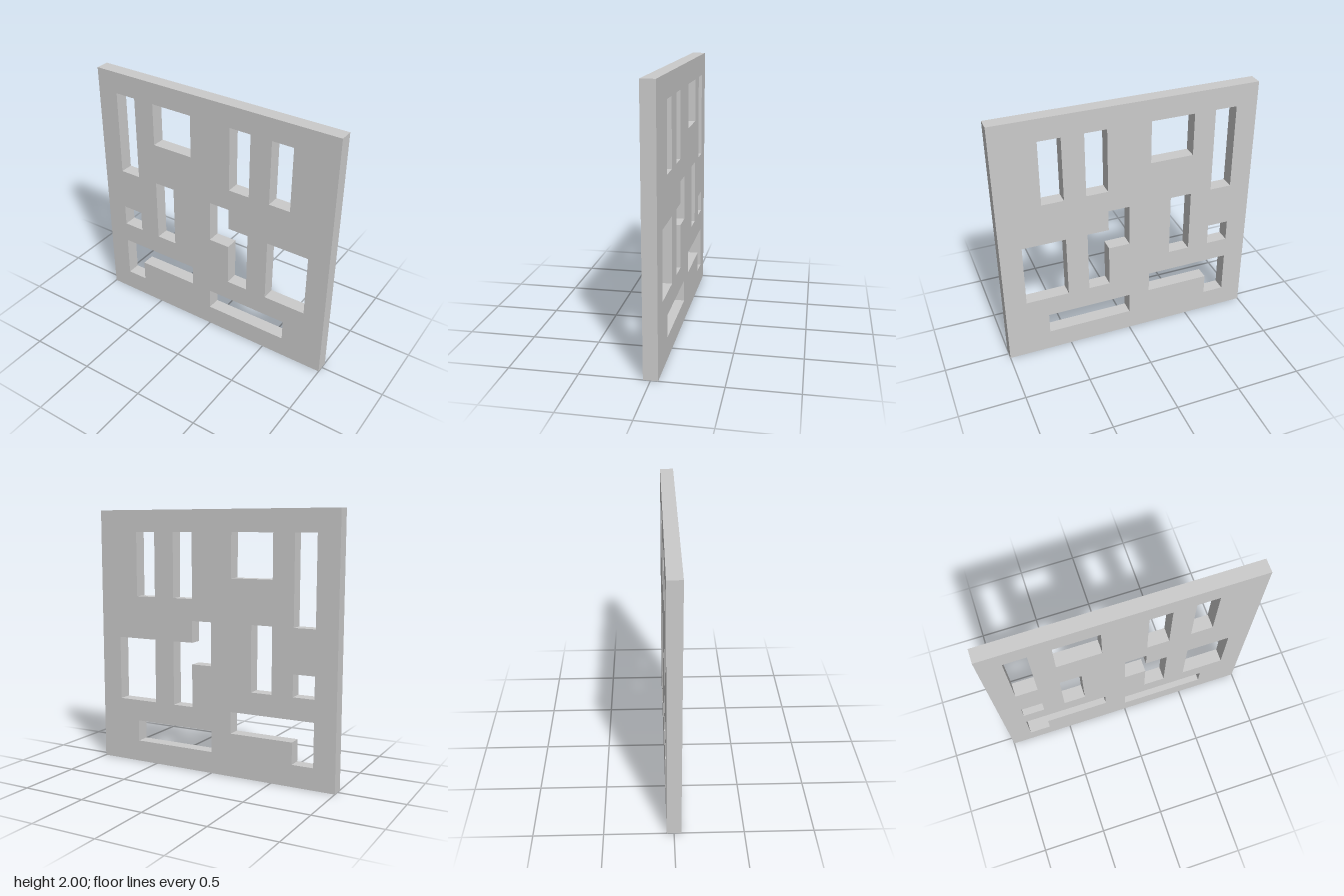
import * as THREE from 'three';

const CELLS = 12;            // the panel is laid out on a 12 x 12 grid
const CELL = 2 / CELLS;
const DEPTH = 0.104;

// Corners of a rectangle in grid cells, counted from the lower left
const rect = (x0, y0, x1, y1) => [[x0, y0], [x1, y0], [x1, y1], [x0, y1]];

const toPoints = (cells) =>
  cells.map(([i, j]) => new THREE.Vector2(i * CELL - 1, j * CELL));

export function createModel() {
  const openings = [
    // upper row
    rect(1, 7, 2, 11),
    rect(3, 9, 5, 11),
    rect(7, 8, 8, 11),
    rect(9, 8, 10, 11),
    // middle row
    rect(1, 4, 2, 5),
    rect(3, 4, 4, 7),
    [[6, 5], [7, 5], [7, 3], [8, 3], [8, 6], [7, 6], [7, 7], [6, 7]],
    rect(9, 3, 11, 6),
    // lower row
    [[1, 1], [2, 1], [2, 2], [5, 2], [5, 3], [1, 3]],
    rect(6, 1, 10, 2),
  ];

  // Square slab with the openings cut through
  const outline = new THREE.Shape(toPoints(rect(0, 0, CELLS, CELLS)));
  for (const cells of openings) outline.holes.push(new THREE.Path(toPoints(cells)));

  const geometry = new THREE.ExtrudeGeometry(outline, { depth: DEPTH, bevelEnabled: false });
  geometry.translate(0, 0, -DEPTH / 2);

  const panel = new THREE.Mesh(geometry, new THREE.MeshStandardMaterial({ color: 0xcccccc }));
  panel.name = 'perforatedPanel';

  const model = new THREE.Group();
  model.name = 'wallPanel';
  model.add(panel);
  return model;
}
